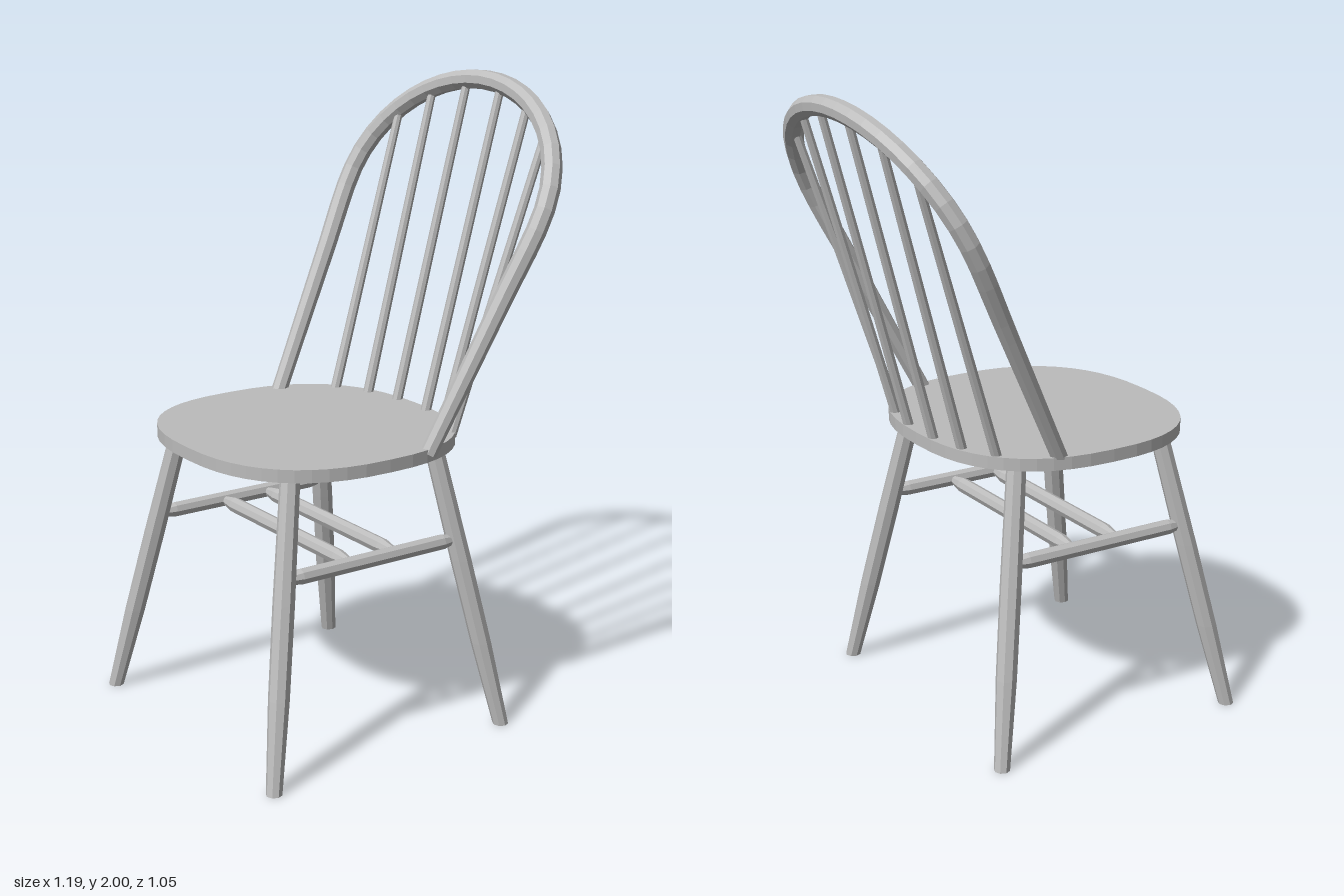
import * as THREE from 'three';

const wood = new THREE.MeshStandardMaterial({ color: 0xbcbcbc });
wood.name = 'grey wood';

const SEAT_Y = 0.905, SEAT_H = 0.04;
const V = (x, y, z) => new THREE.Vector3(x, y, z);

// Faceted mesh: every face keeps its own normal
function part(name, geometry) {
  const geo = geometry.index ? geometry.toNonIndexed() : geometry;
  geo.computeVertexNormals();
  const mesh = new THREE.Mesh(geo, wood);
  mesh.name = name;
  return mesh;
}

// Closed turned profile of given height; stops are [fraction of height, radius]
function turned(stops, height, sides = 8) {
  const pts = stops.map(([t, r]) => new THREE.Vector2(r, t * height));
  pts.unshift(new THREE.Vector2(0, stops[0][0] * height));
  pts.push(new THREE.Vector2(0, stops[stops.length - 1][0] * height));
  return new THREE.LatheGeometry(pts, sides);
}

// Turned bar running from a to b
function bar(name, a, b, stops, sides) {
  const dir = b.clone().sub(a);
  const mesh = part(name, turned(stops, dir.length(), sides));
  mesh.position.copy(a);
  mesh.quaternion.setFromUnitVectors(V(0, 1, 0), dir.normalize());
  return mesh;
}

// Leg with level ends, leaning from foot to seat
function leg(name, foot, top) {
  const geo = turned([[0, 0.025], [0.3, 0.033], [0.6, 0.034], [1, 0.031]], top.y);
  const p = geo.attributes.position;
  for (let i = 0; i < p.count; i++) {
    const t = p.getY(i) / top.y;
    p.setX(i, p.getX(i) + THREE.MathUtils.lerp(foot.x, top.x, t));
    p.setZ(i, p.getZ(i) + THREE.MathUtils.lerp(foot.z, top.z, t));
  }
  return part(name, geo);
}

// Rounded-square seat slab
function seat() {
  const pts = [], n = 48, e = 2 / 2.5;
  for (let i = 0; i < n; i++) {
    const a = (i / n) * Math.PI * 2, c = Math.cos(a), s = Math.sin(a);
    pts.push(new THREE.Vector2(
      0.43 * Math.sign(c) * Math.abs(c) ** e,
      0.452 * Math.sign(s) * Math.abs(s) ** e));
  }
  const geo = new THREE.ExtrudeGeometry(new THREE.Shape(pts), { depth: SEAT_H, bevelEnabled: false });
  geo.rotateX(-Math.PI / 2).translate(-0.13, SEAT_Y, -0.008);
  return part('seat', geo);
}

// Leaning plane of the back, and the height of its arch at z
const backX = (y) => 0.04 + (y - 0.94) * 0.505;
const archY = (z) => 1.62 + 0.35 * Math.sqrt(1 - (z / 0.495) ** 2);

// Bent hoop, slimmer towards the seat, with closed ends
function bow() {
  const side = [[0.413, 0.925], [0.44, 1.15], [0.467, 1.38]];
  const pts = side.map(([z, y]) => V(backX(y), y, z));
  for (let i = 0; i <= 12; i++) {
    const a = (i / 12) * Math.PI, y = 1.62 + 0.35 * Math.sin(a);
    pts.push(V(backX(y), y, 0.495 * Math.cos(a)));
  }
  side.reverse().forEach(([z, y]) => pts.push(V(backX(y), y, -z)));
  const curve = new THREE.CatmullRomCurve3(pts), n = 44, sides = 8;
  const geo = new THREE.TubeGeometry(curve, n, 1, sides);
  const p = geo.attributes.position, v = V(0, 0, 0);
  for (let i = 0; i <= n; i++) {
    const centre = curve.getPointAt(i / n);
    const r = 0.026 + 0.006 * Math.min(1, Math.min(i, n - i) / 10);
    const end = i === 0 || i === n;
    const target = end ? curve.getPointAt(i === 0 ? 1 / n : 1 - 1 / n) : centre;
    for (let j = 0; j <= sides; j++) {
      const k = i * (sides + 1) + j;
      v.fromBufferAttribute(p, k).sub(centre).multiplyScalar(end ? 0 : r).add(target);
      p.setXYZ(k, v.x, v.y, v.z);
    }
    // the rings next to the ends sit at the ends, so that the end rings close them flat
    if (i === 1 || i === n - 1) {
      const tip = curve.getPointAt(i === 1 ? 0 : 1), shift = tip.clone().sub(centre);
      for (let j = 0; j <= sides; j++) {
        const k = i * (sides + 1) + j;
        p.setXYZ(k, p.getX(k) + shift.x, p.getY(k) + shift.y, p.getZ(k) + shift.z);
      }
    }
  }
  // bring the closing points onto the tips
  for (let j = 0; j <= sides; j++) {
    const a = curve.getPointAt(0), b = curve.getPointAt(1);
    p.setXYZ(j, a.x, a.y, a.z);
    p.setXYZ(n * (sides + 1) + j, b.x, b.y, b.z);
  }
  return part('backBow', geo);
}

export function createModel() {
  const chair = new THREE.Group();
  chair.name = 'chair';
  chair.add(seat(), bow());

  const stretcher = [[0, 0.013], [0.09, 0.025], [0.91, 0.025], [1, 0.013]];
  const midZ = -0.007;
  for (const s of [-1, 1]) {
    const end = s > 0 ? 'A' : 'B';
    // Splayed legs and the stretcher joining each pair
    chair.add(
      leg('frontLeg' + end, V(-0.57, 0, midZ + s * 0.483), V(-0.395, 0.91, midZ + s * 0.315)),
      leg('backLeg' + end, V(0.287, 0, midZ + s * 0.483), V(0.132, 0.91, midZ + s * 0.315)),
      bar('sideStretcher' + end, V(-0.455, 0.61, midZ + s * 0.37), V(0.185, 0.61, midZ + s * 0.37), stretcher));

    // Back spindles fanning out to the bow: [base x, base z, top z]
    [[0.275, 0.077, 0.085], [0.25, 0.205, 0.24], [0.195, 0.315, 0.37]].forEach(([x, z, topZ], i) => {
      const y = archY(topZ) - 0.01;
      chair.add(bar('spindle' + end + (i + 1), V(x, 0.93, s * z), V(backX(y), y, s * topZ),
        [[0, 0.017], [1, 0.0135]], 8));
    });
  }

  // Two cross stretchers between the side stretchers
  for (const x of [-0.21, -0.045]) {
    chair.add(bar('crossStretcher', V(x, 0.61, midZ - 0.36), V(x, 0.61, midZ + 0.36), stretcher));
  }
  return chair;
}
